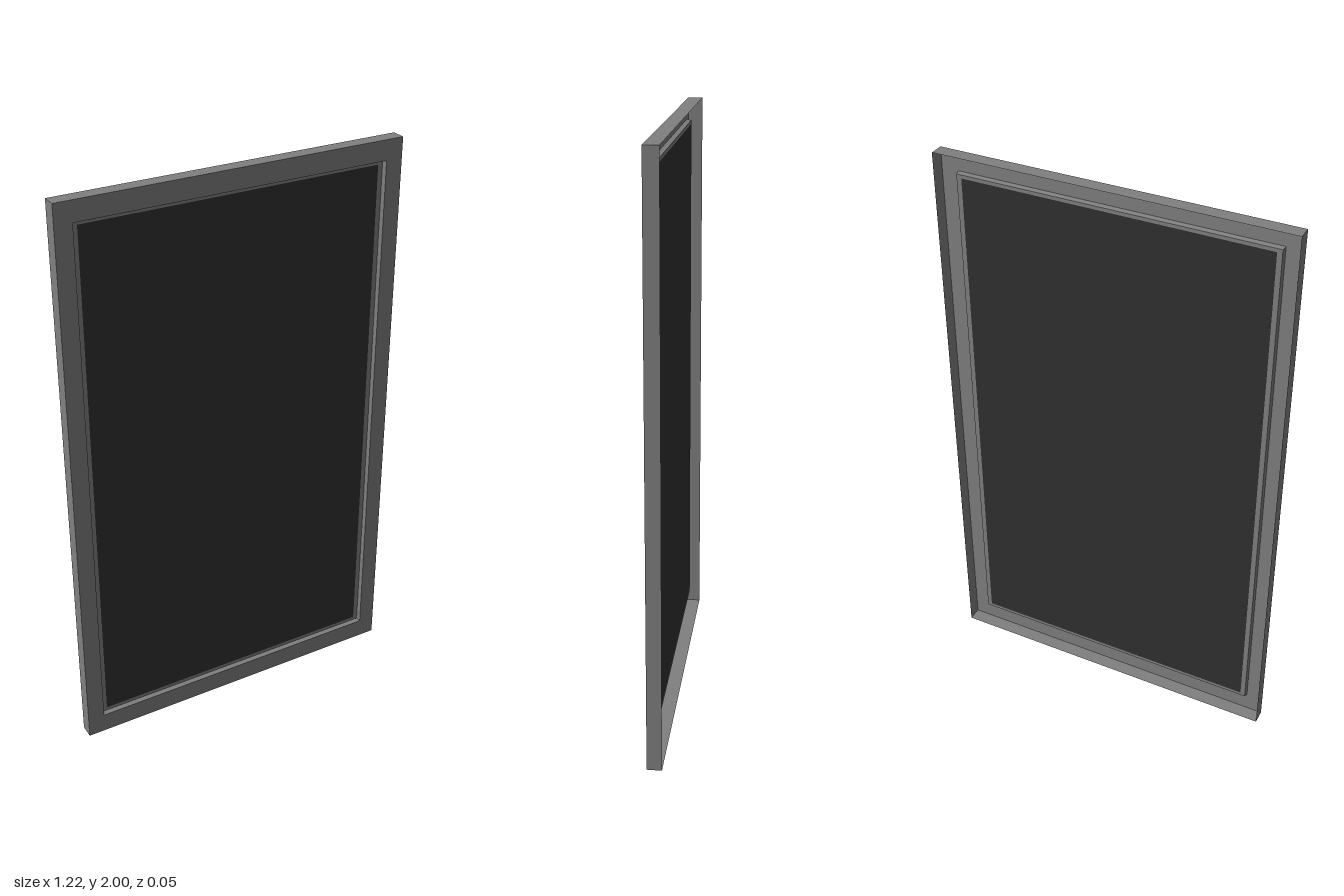
import * as THREE from 'three';

const frameMaterial = new THREE.MeshStandardMaterial({ color: 0x808080, side: THREE.DoubleSide });
const paneMaterial = new THREE.MeshStandardMaterial({ color: 0x323032, side: THREE.DoubleSide });

// Band of four flat faces between two rectangular rings, each [halfWidth, halfHeight, z]
function ringBand(name, a, b) {
  const corners = ([w, h, z]) => [[-w, -h, z], [w, -h, z], [w, h, z], [-w, h, z]];
  const p = corners(a), q = corners(b), positions = [];
  for (let i = 0; i < 4; i++) {
    const j = (i + 1) % 4;
    for (const v of [p[i], p[j], q[j], p[i], q[j], q[i]]) positions.push(...v);
  }
  const geometry = new THREE.BufferGeometry();
  geometry.setAttribute('position', new THREE.Float32BufferAttribute(positions, 3));
  geometry.computeVertexNormals();
  const mesh = new THREE.Mesh(geometry, frameMaterial);
  mesh.name = name;
  return mesh;
}

export function createModel() {
  const group = new THREE.Group();
  group.name = 'framedPanel';

  // Frame cross-section, from the open back edge round to the pane
  const back = [0.61, 1, -0.025];
  const front = [0.61, 1, 0.025];
  const opening = [0.55, 0.93, 0.025];
  const step = [0.547, 0.927, 0.008];
  const inner = [0.53, 0.915, 0.008];

  const frame = new THREE.Group();
  frame.name = 'frame';
  frame.add(
    ringBand('outerWalls', back, front),
    ringBand('frontFace', front, opening),
    ringBand('recessWalls', opening, step),
    ringBand('innerLip', step, inner)
  );

  // Dark pane filling the opening
  const pane = new THREE.Mesh(new THREE.PlaneGeometry(2 * inner[0], 2 * inner[1]), paneMaterial);
  pane.name = 'pane';
  pane.position.z = inner[2];

  group.add(frame, pane);
  for (const part of group.children) part.position.y = 1;
  return group;
}
